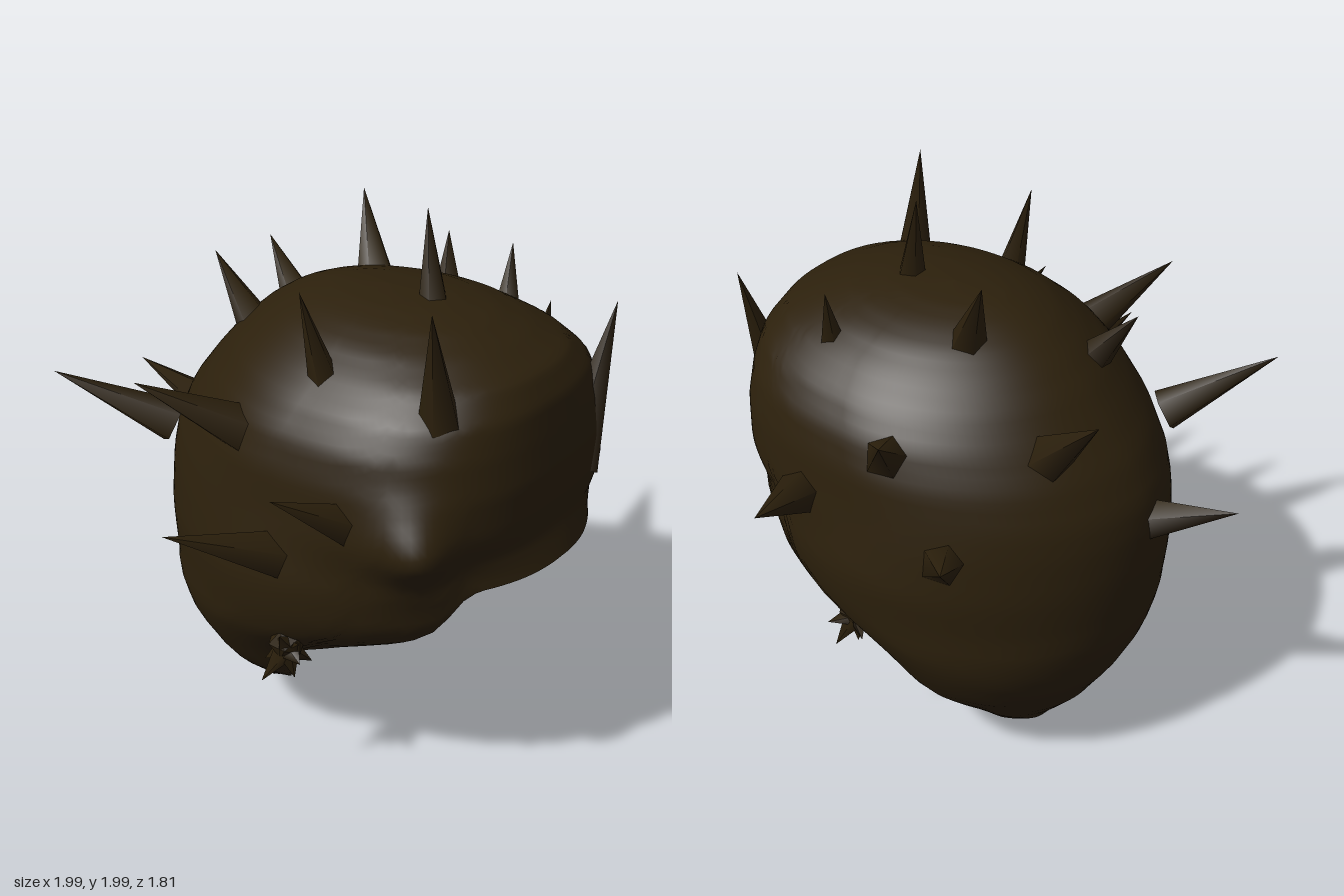
import * as THREE from 'three';

const hair = new THREE.MeshStandardMaterial({ color: 0x2c200c, side: THREE.DoubleSide });
hair.name = 'dark brown hair';

// Horizontal sections of the cap: height, half width, back z, front z
const SECTIONS = [
  [0.0, 0.1, -0.26, -0.2], [0.08, 0.22, -0.32, 0.0], [0.18, 0.31, -0.41, 0.12],
  [0.28, 0.42, -0.47, 0.28], [0.34, 0.475, -0.51, 0.34], [0.5, 0.57, -0.585, 0.44],
  [0.6, 0.62, -0.61, 0.57], [0.65, 0.64, -0.62, 0.67], [0.7, 0.65, -0.625, 0.77],
  [0.78, 0.665, -0.635, 0.85], [0.88, 0.675, -0.64, 0.88], [0.94, 0.67, -0.64, 0.905],
  [1.05, 0.65, -0.635, 0.87], [1.15, 0.635, -0.615, 0.88],
  [1.28, 0.62, -0.55, 0.88], [1.4, 0.585, -0.455, 0.86], [1.5, 0.52, -0.37, 0.84],
  [1.58, 0.43, -0.28, 0.79], [1.64, 0.34, -0.19, 0.67], [1.68, 0.24, -0.1, 0.56],
  [1.705, 0.13, 0.0, 0.42], [1.715, 0, 0.18, 0.18],
];

// Lower edge of the cap: angle from the back, height
const RIM = [
  [0, 0], [0.8, 0.015], [1.4, 0.08], [1.8, 0.17], [1.95, 0.26], [2.03, 0.38],
  [2.08, 0.55], [2.28, 0.605], [2.37, 0.63], [2.42, 0.69], [2.5, 0.78],
  [2.58, 0.91], [2.63, 0.935], [Math.PI, 0.945],
];

function lookup(table, t, column) {
  let i = 0;
  while (i < table.length - 2 && t > table[i + 1][0]) i++;
  const [a, b] = [table[i], table[i + 1]];
  const k = THREE.MathUtils.clamp((t - a[0]) / (b[0] - a[0]), 0, 1);
  return a[column] + (b[column] - a[column]) * k;
}

function capPoint(angle, y) {
  const [w, back, front] = [1, 2, 3].map((c) => lookup(SECTIONS, y, c));
  const s = Math.sin(angle), c = -Math.cos(angle);
  // squarer forehead above the brow, rounder below, tapered behind
  const frontPower = 2 + 0.7 * THREE.MathUtils.smoothstep(y, 0.94, 1.15)
    - 0.5 * THREE.MathUtils.smoothstep(y, 1.45, 1.7);
  const e = 2 / (c > 0 ? frontPower : 1.85);
  const x = Math.sign(s) * Math.abs(s) ** e * w
    - 0.015 * THREE.MathUtils.smoothstep(y, 0.3, 0.8);
  const z = (back + front) / 2 + Math.sign(c) * Math.abs(c) ** e * (front - back) / 2;
  // bulge at the right temple
  const d2 = (x + 0.54) ** 2 + (y - 1.12) ** 2 + (z - 0.66) ** 2;
  const bulge = 0.08 * Math.exp(-d2 / 0.018);
  return [x - bulge * 0.7, y, z + bulge];
}

// Hollow cap, open at the face
function makeCap() {
  const cols = 144, rows = 48, top = 1.715;
  const positions = [], indices = [];
  for (let i = 0; i <= rows; i++) {
    for (let j = 0; j < cols; j++) {
      const angle = (j / cols) * 2 * Math.PI - Math.PI;
      const rim = lookup(RIM, Math.abs(angle), 1);
      positions.push(...capPoint(angle, top - (top - rim) * (i / rows) ** 1.8));
      if (i === rows) continue;
      const a = i * cols + j, c = i * cols + (j + 1) % cols;
      indices.push(a, c, a + cols, c, c + cols, a + cols);
    }
  }
  const geometry = new THREE.BufferGeometry();
  geometry.setAttribute('position', new THREE.Float32BufferAttribute(positions, 3));
  geometry.setIndex(indices);
  geometry.computeVertexNormals();
  return geometry;
}

// Few-sided spike from a base point to a tip, open where it sinks into the cap
function makeSpike(base, tip, radius, name, sides = 5) {
  const from = new THREE.Vector3(...base), to = new THREE.Vector3(...tip);
  const dir = to.clone().sub(from);
  const cone = new THREE.ConeGeometry(radius, dir.length(), sides, 1, true);
  const mesh = new THREE.Mesh(cone, hair);
  mesh.position.copy(from).add(to).multiplyScalar(0.5);
  mesh.quaternion.setFromUnitVectors(new THREE.Vector3(0, 1, 0), dir.normalize());
  mesh.name = name;
  return mesh;
}

// Base point, tip, radius
const SPIKES = [
  [[0.22, 1.15, 0.79], [0.36, 1.7, 0.825], 0.09],
  [[0.34, 1.5, 0.42], [0.4, 1.78, 0.39], 0.06],
  [[0.0, 1.6, 0.365], [0.03, 1.99, 0.3], 0.065],
  [[0.17, 1.58, 0.0], [0.25, 1.9, -0.13], 0.08],
  [[-0.38, 1.5, 0.66], [-0.46, 1.89, 0.675], 0.07],
  [[-0.42, 1.47, 0.265], [-0.5, 1.85, 0.21], 0.065],
  [[-0.16, 1.47, -0.26], [-0.165, 1.72, -0.45], 0.075],
  [[0.23, 1.36, -0.38], [0.3, 1.6, -0.61], 0.085],
  [[0.51, 1.335, 0.06], [0.77, 1.59, -0.13], 0.085],
  [[0.56, 1.1, 0.39], [0.99, 1.32, 0.2], 0.09],
  [[0.52, 1.015, -0.165], [0.81, 1.25, -0.385], 0.085],
  [[-0.55, 1.335, 0.01], [-0.83, 1.55, -0.19], 0.085],
  [[-0.57, 1.155, 0.46], [-0.85, 1.34, 0.38], 0.075],
  [[-0.6, 0.97, 0.225], [-1.0, 1.17, 0.07], 0.09],
  [[-0.45, 1.185, -0.41], [-0.71, 1.39, -0.705], 0.08],
  [[-0.05, 1.02, -0.56], [-0.11, 1.16, -0.905], 0.085],
];

export function createModel() {
  const model = new THREE.Group();
  model.name = 'spikyHair';

  const cap = new THREE.Mesh(makeCap(), hair);
  cap.name = 'hairCap';
  model.add(cap);

  const spikes = new THREE.Group();
  spikes.name = 'spikes';
  SPIKES.forEach(([base, tip, r], i) => spikes.add(makeSpike(base, tip, r, `spike${i + 1}`)));
  model.add(spikes);

  // Ragged tufts at the ears
  let seed = 7;
  const random = () => (seed = (seed * 16807) % 2147483647) / 2147483647;
  for (const [x, y, name] of [[0.53, 0.6, 'leftEarTuft'], [-0.6, 0.6, 'rightEarTuft']]) {
    const tuft = new THREE.Group();
    tuft.name = name;
    const core = new THREE.Mesh(new THREE.IcosahedronGeometry(0.065, 0), hair);
    core.name = 'tuftCore';
    core.position.set(x, y + 0.03, 0.22);
    tuft.add(core);
    for (let i = 0; i < 12; i++) {
      const a = (i / 12) * 2 * Math.PI;
      const reach = 0.08 + random() * 0.06;
      const tip = [
        x + (random() - 0.45) * 0.2 * Math.sign(x),
        y + Math.sin(a) * reach,
        0.22 + Math.cos(a) * reach * 0.7,
      ];
      tuft.add(makeSpike([x, y, 0.22], tip, 0.045, 'tuftStrand', 4));
    }
    model.add(tuft);
  }
  return model;
}
